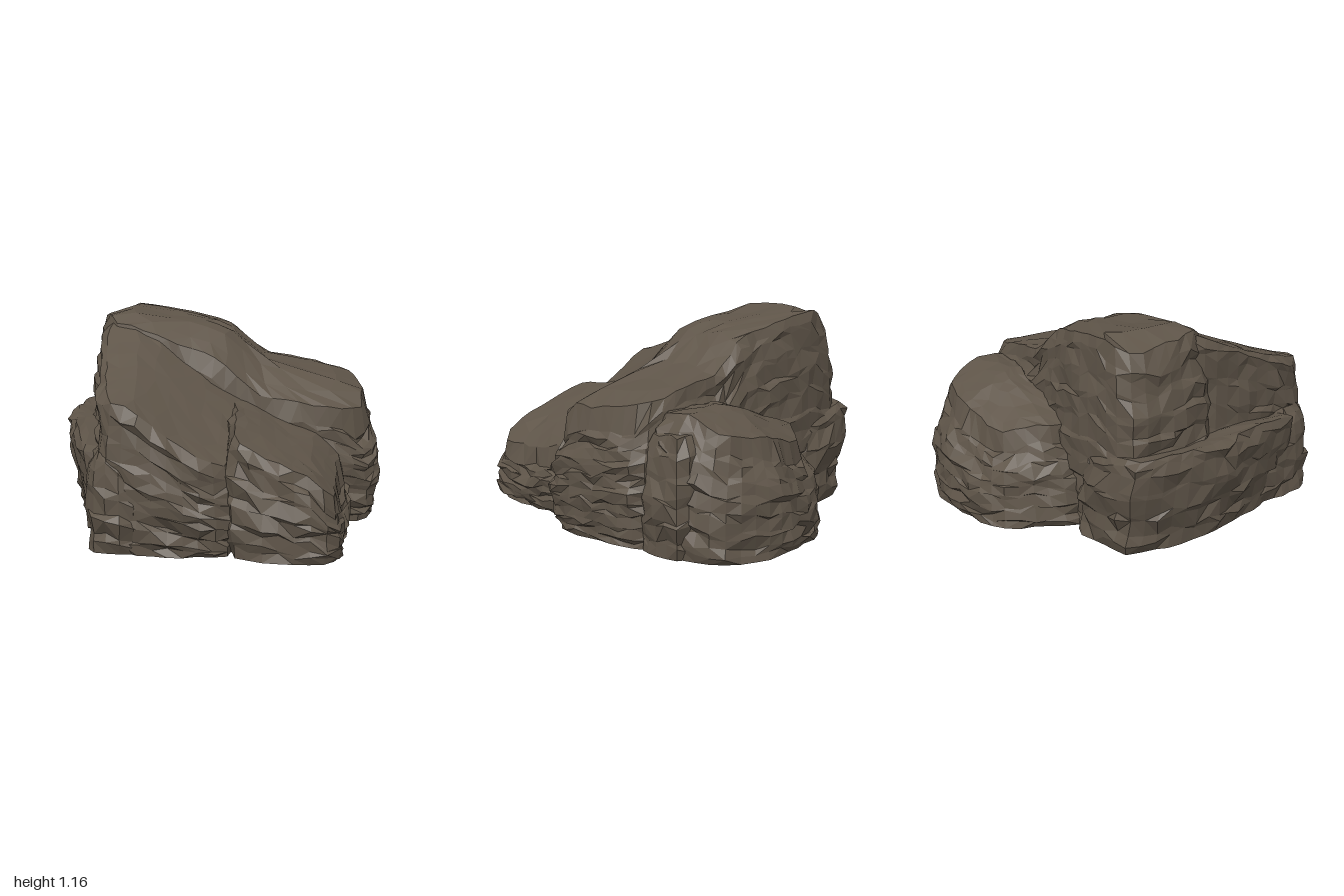
import * as THREE from 'three';

const stone = new THREE.MeshStandardMaterial({ color: 0x5f5549, flatShading: true });
stone.name = 'brown stone';

// Seeded random numbers from -1 to 1
function seeded(seed) {
  let s = seed * 7919 + 17;
  return () => {
    s = (s * 16807) % 2147483647;
    return (s / 2147483647) * 2 - 1;
  };
}

// Layered boulder: a few footprint corners (x, z) raised in rough strata to a sloping top
function boulder(name, seed, corners, top, { foot = 0.03, taper = 0.05, lean = 0 } = {}) {
  const rnd = seeded(seed);
  for (let i = 0; i < 5; i++) rnd();
  const curve = new THREE.CatmullRomCurve3(
    corners.map(([x, z]) => new THREE.Vector3(x, 0, z)), true, 'catmullrom', 0.3);
  const n = Math.max(14, Math.round(curve.getLength() / 0.085));
  let ring = curve.getSpacedPoints(n).slice(0, n);
  const area = ring.reduce((sum, p, i) => {
    const q = ring[(i + 1) % n];
    return sum + p.x * q.z - q.x * p.z;
  }, 0);
  if (area > 0) ring = ring.reverse();
  const centre = ring.reduce((c, p) => c.add(p), new THREE.Vector3()).divideScalar(n);
  const surface = (x, z) => top(x, z) + 0.01 * Math.sin(7 * x + seed) * Math.sin(8 * z + 2 * seed);
  const inward = (p, d) => p.clone().add(centre.clone().sub(p).normalize().multiplyScalar(d));

  const verts = [];
  const steps = []; // spacing of the used points in each row
  // Strata up the sides, alternating thick beds and thin ledges
  const layers = 2 * Math.max(4, Math.round(top(centre.x, centre.z) / 0.12));
  for (let j = 0; j <= layers; j++) {
    const t = j === 0 || j === layers ? j / layers : (j + (j % 2 ? 0.22 : -0.22)) / layers;
    const inset = foot * Math.max(0, 1 - t / 0.4) + taper * Math.max(0, (t - 0.4) / 0.6) ** 2;
    const bed = 0.012 + 0.01 * rnd();
    const phase = 6 * rnd();
    ring.forEach((p, i) => {
      const q = inward(p, inset + bed + 0.012 * Math.sin(i * 0.9 + phase) + 0.013 * rnd());
      const wobble = j === 0 ? 0.008 : 0.016 * rnd();
      verts.push(q.x + lean * (1 - t), Math.max(0, t * (surface(p.x, p.z) - 0.04) + wobble), q.z);
    });
    steps.push(1);
  }
  // Rounded rim and the broad top face, with larger facets towards the middle
  for (const [scale, step] of [[1, 1], [0.8, 2], [0.52, 3], [0.24, 5]]) {
    for (const p of ring) {
      const q = inward(p, taper + 0.045 + 0.012 * rnd()).sub(centre).multiplyScalar(scale).add(centre);
      verts.push(q.x, surface(q.x, q.z) + 0.006 * rnd(), q.z);
    }
    steps.push(step);
  }
  // Centre points of the top and the base
  const rows = steps.length;
  const apex = rows * n;
  verts.push(centre.x, surface(centre.x, centre.z), centre.z, centre.x + lean, 0.008, centre.z);

  const index = [];
  const id = (j, i) => j * n + i - (i % steps[j]);
  const face = (a, b, c) => {
    if (a !== b && b !== c && c !== a) index.push(a, b, c);
  };
  for (let i = 0; i < n; i++) {
    const k = (i + 1) % n;
    for (let j = 0; j < rows - 1; j++) {
      const a = id(j, i), b = id(j, k), c = id(j + 1, i), d = id(j + 1, k);
      if (rnd() > 0) {
        face(a, b, c);
        face(b, d, c);
      } else {
        face(a, b, d);
        face(a, d, c);
      }
    }
    face(id(rows - 1, i), id(rows - 1, k), apex);
    face(k, i, apex + 1);
  }
  const geometry = new THREE.BufferGeometry();
  geometry.setAttribute('position', new THREE.Float32BufferAttribute(verts, 3));
  geometry.setIndex(index);
  geometry.computeVertexNormals();
  const mesh = new THREE.Mesh(geometry, stone);
  mesh.name = name;
  return mesh;
}

export function createModel() {
  const group = new THREE.Group();
  group.name = 'rock outcrop';
  const past = (v, limit) => Math.max(0, v - limit);

  // Ridge crest peaks on one side, steps down to the other and falls away towards the front
  const ridgeTop = (x, z) => 1.17 - 0.4 * past(-x, 0.55) - 0.17 * past(x, -0.55) - 0.66 * past(x, 0)
    + 0.6 * past(x, 0.22) - 0.6 * past(x, 0.73) - 0.75 * past(z, 0.04) - 0.15 * past(-z, 0.3);
  group.add(boulder('main ridge boulder', 1,
    [[-0.73, -0.48], [0.77, -0.48], [0.87, 0.22], [0.08, 0.36], [-0.72, 0.12]],
    ridgeTop, { foot: 0.05, taper: 0.07 }));

  // Two boulders leaning against the front
  group.add(boulder('tall front boulder', 2,
    [[-0.67, 0], [-0.54, 0.89], [0.13, 0.93], [0.13, 0.05]],
    (x, z) => 1.02 - 0.39 * (z - 0.25) - 0.58 * past(x, -0.4), { taper: 0.02 }));
  group.add(boulder('low front boulder', 3,
    [[0.05, 0.12], [0.1, 0.91], [0.4, 1.01], [0.7, 0.96], [0.71, 0.12]],
    (x, z) => 0.71 - 0.12 * (z - 0.3) - 0.45 * past(x, 0.12) - 0.5 * past(x, 0.55), { taper: 0.04 }));

  // Rounded boulder and a smaller rock at the back
  group.add(boulder('back boulder', 4,
    [[-0.31, -0.4], [-0.17, -0.86], [0.28, -1.02], [0.67, -0.89], [0.73, -0.4]],
    (x, z) => 0.74 - 0.5 * past(-z, 0.62) - 0.35 * past(-x, -0.3), { foot: 0, taper: 0.1 }));
  group.add(boulder('back corner rock', 5,
    [[0.45, -0.4], [0.5, -0.75], [0.78, -0.74], [0.77, -0.4]],
    (x) => 0.66 - 0.3 * past(x, 0.6)));

  // Low slab along the side and a small rock at its front end
  group.add(boulder('side slab', 6,
    [[-0.87, -0.47], [-0.91, 0.1], [-0.66, 0.75], [-0.4, 0.4], [-0.4, -0.49]],
    (x) => 0.54 - 0.16 * (x + 0.65), { foot: 0.01, taper: 0.02, lean: 0.1 }));
  group.add(boulder('small front rock', 7,
    [[-0.69, 0.45], [-0.62, 0.91], [-0.37, 0.95], [-0.36, 0.45]],
    (x) => 0.53 - 0.6 * past(x, -0.48)));
  return group;
}
